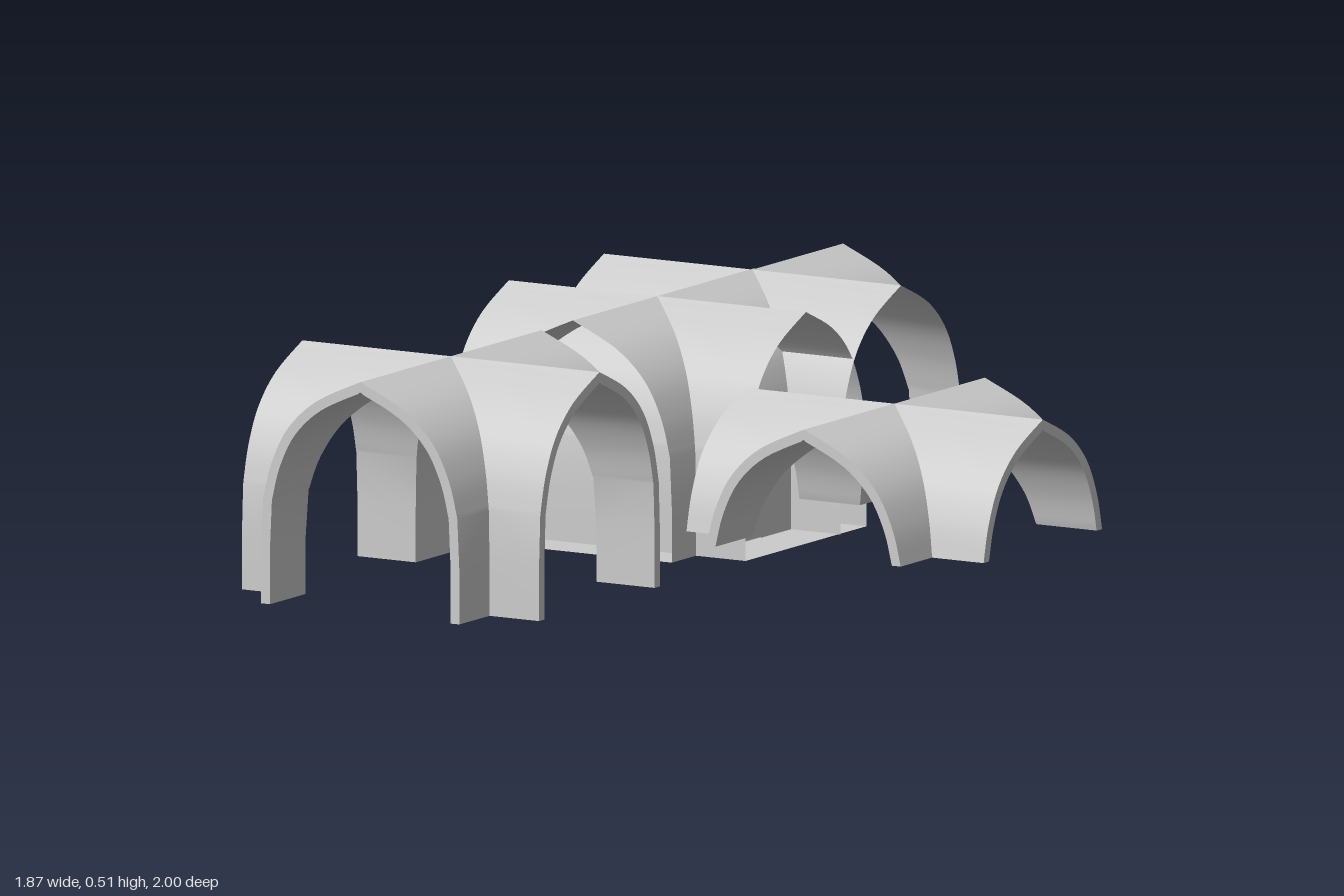
import * as THREE from 'three';
import { toCreasedNormals } from 'three/addons/utils/BufferGeometryUtils.js';

const REACH = 0.375;   // half length of each barrel
const SHELL = 0.022;   // thickness of the solid vaults
const SPRING = 0.23;   // height where the legs end and the arch begins

const material = new THREE.MeshStandardMaterial({ color: 0xcccccc, side: THREE.DoubleSide });

// Half of the pointed arch, from its foot up to the crown: x = half width, y = height
const archCurve = new THREE.SplineCurve([
  [0.245, SPRING], [0.224, 0.31], [0.182, 0.39], [0.11, 0.455], [0, 0.507],
].map(([x, y]) => new THREE.Vector2(x, y)));

function halfArch(withLegs) {
  const points = archCurve.getPoints(20);
  if (withLegs) points.unshift(new THREE.Vector2(0.25, 0), new THREE.Vector2(0.25, 0.12));
  return points;
}

// The same line moved inwards by the shell thickness
function inset(points) {
  const last = points.length - 1;
  return points.map((p, i) => {
    const along = points[Math.min(i + 1, last)].clone().sub(points[Math.max(i - 1, 0)]).normalize();
    if (i === 0) return new THREE.Vector2(p.x - SHELL, p.y);
    if (i === last) return new THREE.Vector2(0, p.y - SHELL);
    return new THREE.Vector2(Math.max(0, p.x - along.y * SHELL), p.y + along.x * SHELL);
  });
}

// Skin a row of cross-sections; closed rings also get a face on the first ring
function loft(rings, closed) {
  const n = rings[0].length;
  const positions = [];
  const quad = (a, b, c, d) => [a, b, c, a, c, d].forEach((p) => positions.push(...p));
  for (let i = 0; i + 1 < rings.length; i++) {
    for (let j = 0; j < (closed ? n : n - 1); j++) {
      const k = (j + 1) % n;
      quad(rings[i][j], rings[i][k], rings[i + 1][k], rings[i + 1][j]);
    }
  }
  if (closed && n === 4) quad(rings[0][3], rings[0][2], rings[0][1], rings[0][0]);
  const geometry = new THREE.BufferGeometry();
  geometry.setAttribute('position', new THREE.Float32BufferAttribute(positions, 3));
  return toCreasedNormals(geometry, 0.5);
}

// One eighth of a groin vault: from the diagonal groin out to the arch end
function vaultEighth(withLegs, solid) {
  const outer = halfArch(withLegs);
  const inner = inset(outer);
  const rings = outer.map((o, i) => {
    const q = inner[i];
    const ring = [[o.x, o.y, o.x], [o.x, o.y, REACH]].reverse();
    if (solid) ring.push([q.x, q.y, q.x], [q.x, q.y, REACH]);
    return ring;
  });
  return loft(rings, solid);
}

// Four arms, each made of two mirrored halves
function groinVault(name, x, z, withLegs, solid) {
  const vault = new THREE.Group();
  vault.name = name;
  vault.position.set(x, 0, z);
  const geometry = vaultEighth(withLegs, solid);
  for (let arm = 0; arm < 4; arm++) {
    for (const side of [1, -1]) {
      const half = new THREE.Mesh(geometry, material);
      half.name = 'vaultWeb';
      half.rotation.y = arm * Math.PI / 2;
      half.scale.x = side;
      vault.add(half);
    }
  }
  return vault;
}

// A full uncut barrel with a floor, open at both ends
function barrel(name, from, to) {
  const right = halfArch(true);
  const left = right.slice(0, -1).reverse().map((p) => new THREE.Vector2(-p.x, p.y));
  const outline = [...right, ...left, right[0]];
  const rings = [to, from].map((z) => outline.map((p) => [p.x, p.y, z]));
  const mesh = new THREE.Mesh(loft(rings, false), material);
  mesh.name = name;
  return mesh;
}

export function createModel() {
  const model = new THREE.Group();
  model.name = 'groinVaults';

  // Solid vaults at the front, with and without legs
  model.add(groinVault('leggedVault', -0.557, 0.622, true, true));
  model.add(groinVault('leglessVault', 0.562, 0.622, false, true));

  // Thin trimmed vault at the back
  model.add(groinVault('thinVault', -0.557, -0.625, true, false));

  // Two uncut barrels crossing each other
  const crossing = new THREE.Group();
  crossing.name = 'crossingBarrels';
  crossing.position.set(-0.562, 0, -0.24);
  const across = barrel('acrossBarrel', -REACH, REACH);
  across.rotation.y = Math.PI / 2;
  crossing.add(barrel('lengthwiseBarrel', -0.4, 0.35), across);
  model.add(crossing);

  return model;
}
